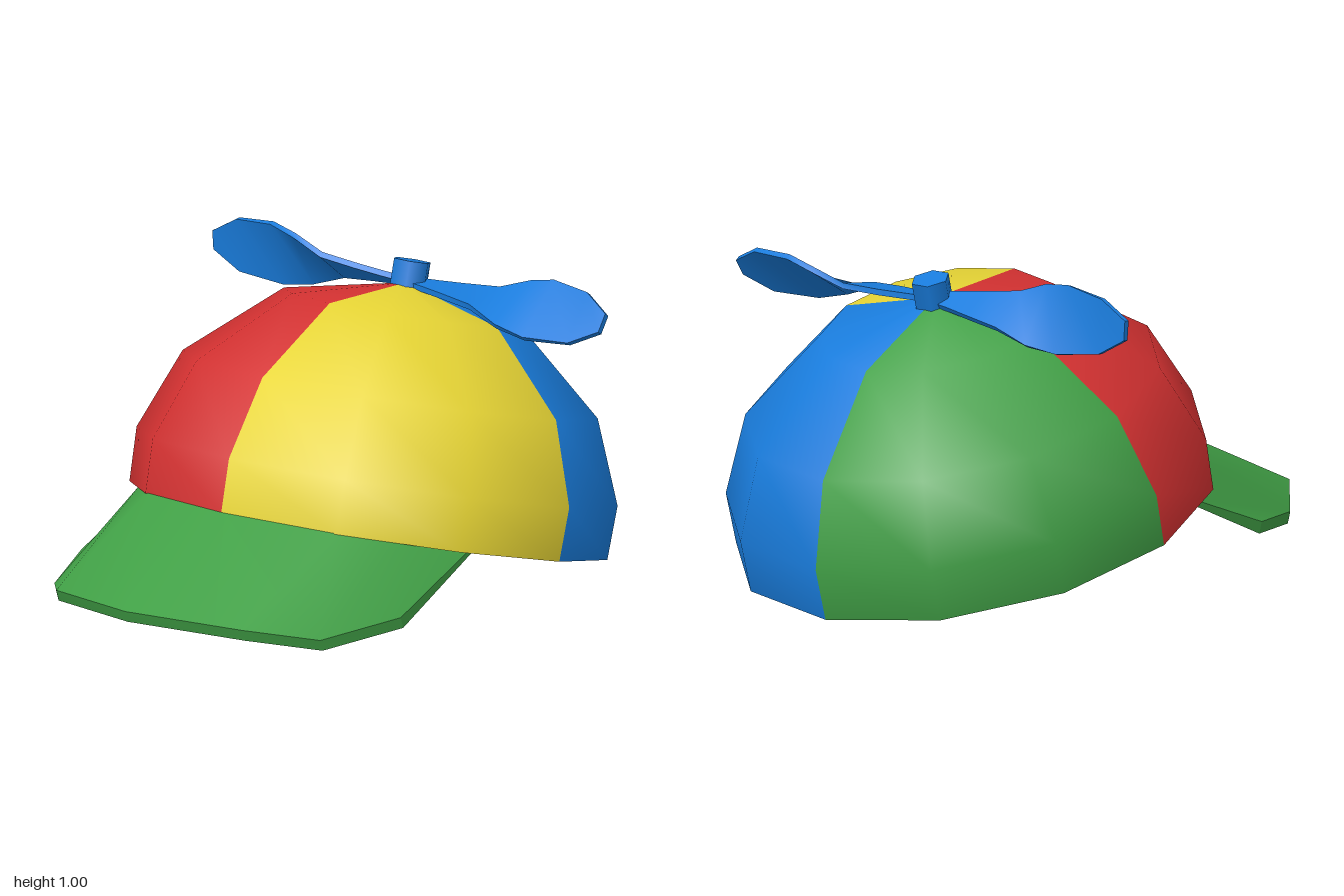
import * as THREE from 'three';

const material = (name, color) => {
  const m = new THREE.MeshStandardMaterial({ color });
  m.name = name;
  return m;
};

const part = (name, geometry, mat, parent) => {
  const mesh = new THREE.Mesh(geometry, mat);
  mesh.name = name;
  parent.add(mesh);
  return mesh;
};

// Skins four-cornered sections running along +x; smooth along each side, sharp between sides
function loft(sections) {
  const pos = [], index = [];
  for (let k = 0; k < 4; k++) {
    const base = pos.length / 3;
    sections.forEach((s) => pos.push(...s[k], ...s[(k + 1) % 4]));
    for (let i = 0; i < sections.length - 1; i++) {
      const a = base + i * 2;
      index.push(a, a + 1, a + 3, a, a + 3, a + 2);
    }
  }
  const cap = (ring) => {
    const b = pos.length / 3;
    ring.forEach((p) => pos.push(...p));
    index.push(b, b + 1, b + 2, b, b + 2, b + 3);
  };
  cap([...sections[0]].reverse());
  cap(sections[sections.length - 1]);
  const g = new THREE.BufferGeometry();
  g.setAttribute('position', new THREE.Float32BufferAttribute(pos, 3));
  g.setIndex(index);
  g.computeVertexNormals();
  return g;
}

function brimGeometry() {
  const thick = 0.035;
  // Height of the crown's tilted rim at a given depth
  const rimY = (z) => 0.2 + 0.2715 * (z + 0.215);
  // Half of the brim: [inner x, inner z, outer point] from the middle to the side
  const half = [
    [0, 0.505, [0, 0.205, 1.0]],
    [0.35, 0.41, [0.35, 0.18, 0.88]],
    [0.49, 0.27, [0.5, 0.13, 0.69]],
    [0.595, 0.06, [0.6, 0.155, 0.42]],
  ];
  const mirrored = half.slice(1).reverse().map(([x, z, [ox, oy, oz]]) => [-x, z, [-ox, oy, oz]]);
  // The inner edge tucks just inside the crown
  return loft([...mirrored, ...half].map(([x, z, o]) => [
    [x, rimY(z) + 0.012, z],
    o,
    [o[0], o[1] - thick, o[2] - 0.012],
    [x, rimY(z) - 0.004, z],
  ]));
}

function bladeGeometry() {
  // [distance from hub, chord, pitch in degrees]
  const stations = [
    [0, 0.05, 15], [0.08, 0.075, 17], [0.17, 0.11, 19], [0.29, 0.15, 23],
    [0.4, 0.2, 44], [0.5, 0.212, 58], [0.65, 0.168, 70], [0.745, 0.06, 70],
  ];
  const t = 0.009;
  return loft(stations.map(([x, chord, deg]) => {
    const p = THREE.MathUtils.degToRad(deg), c = Math.cos(p), s = Math.sin(p);
    const corner = (along, up) => [x, -s * along + c * up, c * along + s * up];
    const h = chord / 2;
    return [corner(-h, t), corner(h, t), corner(h, -t), corner(-h, -t)];
  }));
}

export function createModel() {
  const red = material('red', 0xd33131);
  const yellow = material('yellow', 0xe7d535);
  const green = material('green', 0x41a046);
  const blue = material('blue', 0x197cdc);
  const dark = material('dark lining', 0x43555e);

  const model = new THREE.Group();
  model.name = 'propellerCap';

  // Crown and propeller lean backwards together
  const crown = new THREE.Group();
  crown.name = 'crown';
  crown.position.set(0, 0.2, -0.215);
  crown.rotation.x = -0.265;
  model.add(crown);

  // Four coloured quarter panels
  const profile = [[0.762, 0], [0.767, 0.166], [0.662, 0.416], [0.378, 0.652], [0, 0.727]]
    .map(([r, y]) => new THREE.Vector2(r, y));
  const panels = [
    ['frontLeftPanel', yellow], ['backLeftPanel', blue],
    ['backRightPanel', green], ['frontRightPanel', red],
  ];
  panels.forEach(([name, mat], i) => {
    const g = new THREE.LatheGeometry(profile, 3, i * Math.PI / 2, Math.PI / 2);
    part(name, g, mat, crown).scale.x = 0.943;
  });

  // Dark underside
  const lining = new THREE.CircleGeometry(0.762, 12).rotateX(Math.PI / 2);
  part('lining', lining, dark, crown).scale.x = 0.943;

  // Propeller, turned slightly about its hub
  const propeller = new THREE.Group();
  propeller.name = 'propeller';
  propeller.position.set(0, 0.73, -0.012);
  propeller.rotation.y = -0.025;
  crown.add(propeller);
  const hub = new THREE.CylinderGeometry(0.06, 0.06, 0.09, 6).rotateY(Math.PI / 6);
  part('hub', hub, blue, propeller).position.y = 0.02;
  const blade = bladeGeometry();
  part('leftBlade', blade, blue, propeller);
  part('rightBlade', blade, blue, propeller).rotation.y = Math.PI;

  part('brim', brimGeometry(), green, model);
  return model;
}
